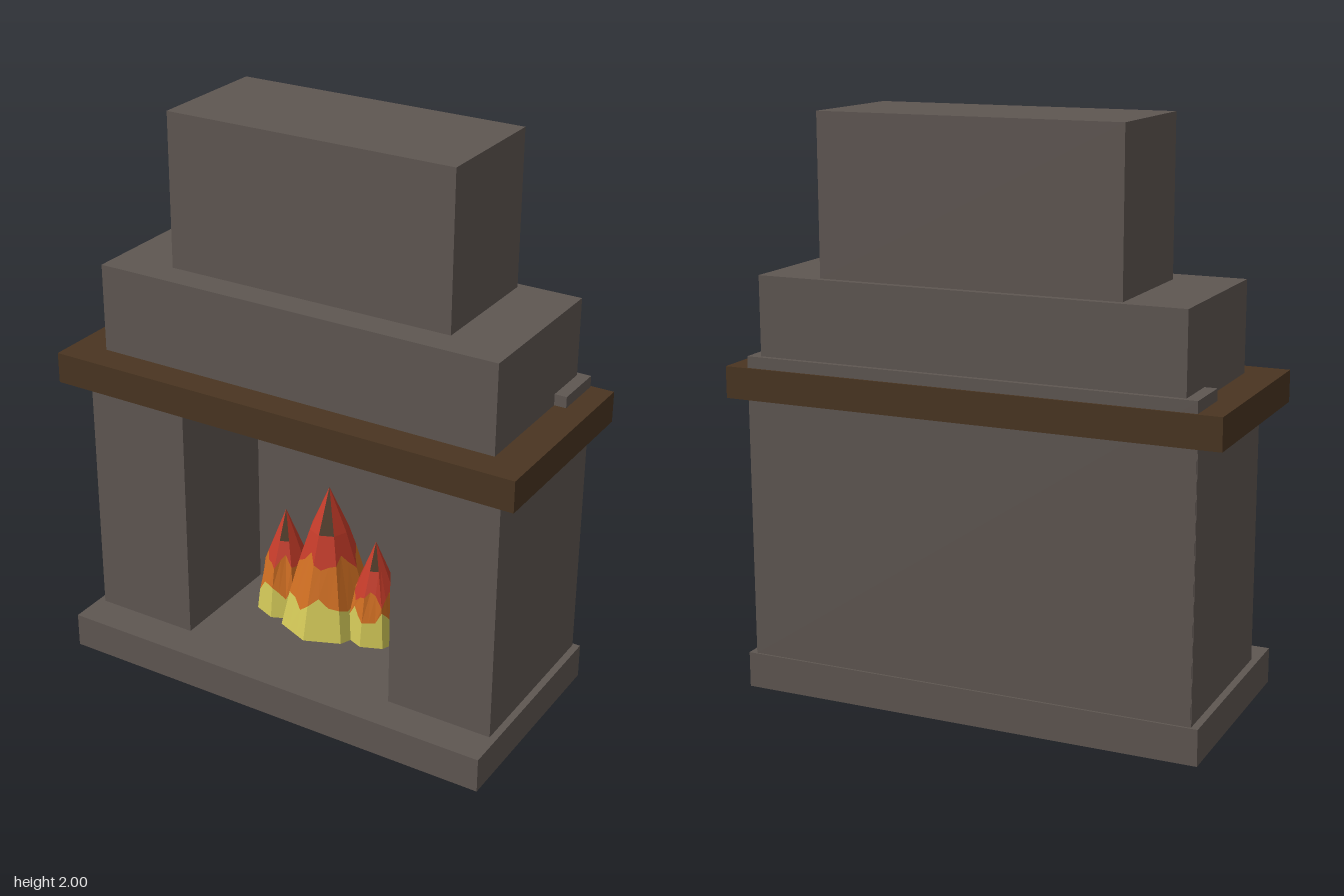
import * as THREE from 'three';

const mat = (name, color, extra = {}) => {
  const m = new THREE.MeshStandardMaterial({ color, ...extra });
  m.name = name;
  return m;
};

export function createModel() {
  const stone = mat('stone', 0x5f5752);
  const wood = mat('wood', 0x4a3521);
  const soot = mat('soot', 0x33281c);
  const yellow = mat('flameYellow', 0xd2c858);
  const orange = mat('flameOrange', 0xcf6e22);
  const red = mat('flameRed', 0xc23a28);
  const model = new THREE.Group();
  model.name = 'fireplace';

  // Box given by its lower and upper corners
  function block(name, material, [x0, y0, z0], [x1, y1, z1]) {
    const mesh = new THREE.Mesh(new THREE.BoxGeometry(x1 - x0, y1 - y0, z1 - z0), material);
    mesh.position.set((x0 + x1) / 2, (y0 + y1) / 2, (z0 + z1) / 2);
    mesh.name = name;
    model.add(mesh);
  }

  // Masonry and mantel
  block('hearth', stone, [-0.82, 0, -0.39], [0.82, 0.125, 0.39]);
  block('backWall', stone, [-0.793, 0.125, -0.383], [0.793, 1.18, -0.195]);
  block('rightPillar', stone, [-0.795, 0.125, -0.38], [-0.41, 1.03, 0.26]);
  block('leftPillar', stone, [0.41, 0.125, -0.38], [0.795, 1.03, 0.26]);
  block('mantel', wood, [-0.875, 1.03, -0.39], [0.875, 1.14, 0.335]);
  block('chimneyBreast', stone, [-0.75, 1.14, -0.365], [0.75, 1.455, 0.225]);
  block('chimney', stone, [-0.53, 1.455, -0.34], [0.53, 2, 0.12]);
  block('sootPlate', soot, [-0.3, 0.14, -0.195], [0.3, 0.24, -0.188]);

  // Eight-sided flame with wavy colour bands; profile is [radius, y] from base to tip
  function flame(name, x, profile, yellowTop, orangeTop, charBottom) {
    const base = profile[0][1], tip = profile[profile.length - 1][1];
    const radius = (y) => {
      for (let i = 1; i < profile.length; i++) {
        const [r0, y0] = profile[i - 1], [r1, y1] = profile[i];
        if (y <= y1) return r0 + (r1 - r0) * (y - y0) / (y1 - y0);
      }
      return 0;
    };
    const sides = 8, sub = 3, n = sides * sub;
    const wave = (j) => 0.022 * Math.sin(j * Math.PI * 2 / n * 5 + x * 20) + 0.012 * Math.sin(j * Math.PI * 2 / n * 9);
    const rings = [() => base, (j) => yellowTop + wave(j), (j) => orangeTop + wave(j + 7), () => charBottom, () => tip];
    const corner = (k) => [Math.sin(k * Math.PI * 2 / sides), Math.cos(k * Math.PI * 2 / sides)];
    const point = (i, j) => {
      const y = rings[i](j % n), r = radius(y);
      const k = Math.floor(j / sub), t = (j % sub) / sub, a = corner(k), b = corner(k + 1);
      return [r * (a[0] + (b[0] - a[0]) * t), y, r * (a[1] + (b[1] - a[1]) * t)];
    };
    const pos = [], geo = new THREE.BufferGeometry();
    const bandColour = [0, 1, 2, 2];
    for (let i = 0; i < 4; i++) {
      for (let j = 0; j < n; j++) {
        const a = point(i, j), b = point(i, j + 1), c = point(i + 1, j + 1), d = point(i + 1, j);
        const charred = i === 3 && j < sub;
        geo.addGroup(pos.length / 3, 6, charred ? 3 : bandColour[i]);
        pos.push(...a, ...b, ...c, ...a, ...c, ...d);
      }
    }
    // Underside
    geo.addGroup(pos.length / 3, n * 3, 0);
    for (let j = 0; j < n; j++) pos.push(0, base, 0, ...point(0, j + 1), ...point(0, j));
    geo.setAttribute('position', new THREE.Float32BufferAttribute(pos, 3));
    geo.computeVertexNormals();
    const mesh = new THREE.Mesh(geo, [yellow, orange, red, wood]);
    mesh.position.set(x, 0, -0.025);
    mesh.name = name;
    model.add(mesh);
  }
  flame('middleFlame', 0, [[0.175, 0.165], [0.13, 0.36], [0.07, 0.54], [0, 0.7]], 0.29, 0.44, 0.54);
  flame('rightFlame', -0.18, [[0.108, 0.165], [0.088, 0.34], [0, 0.56]], 0.27, 0.375, 0.45);
  flame('leftFlame', 0.19, [[0.105, 0.165], [0.085, 0.33], [0, 0.54]], 0.27, 0.35, 0.44);

  return model;
}
